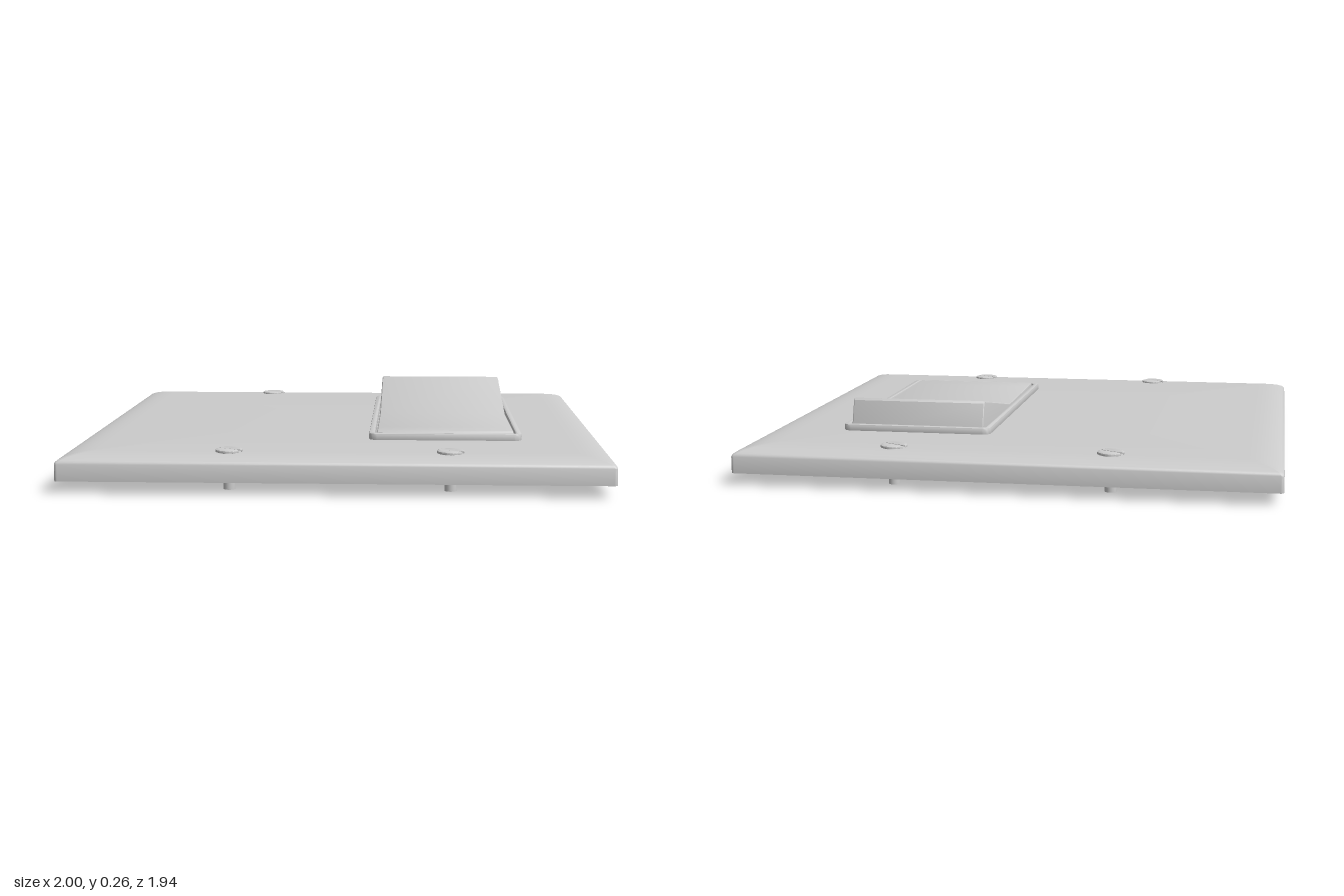
import * as THREE from 'three';
import { toCreasedNormals } from 'three/addons/utils/BufferGeometryUtils.js';

const HALF_X = 1, HALF_Z = 0.97, BASE_Y = 0.045;

// Closed outline of a rounded rectangle, as Vector2 points
function roundedRect(hx, hy, r, seg = 5) {
  const pts = [];
  [[1, 1], [-1, 1], [-1, -1], [1, -1]].forEach(([sx, sy], k) => {
    for (let i = 0; i <= seg; i++) {
      const t = (k + i / seg) * Math.PI / 2;
      pts.push(new THREE.Vector2(sx * (hx - r) + r * Math.cos(t), sy * (hy - r) + r * Math.sin(t)));
    }
  });
  return pts;
}

// Plate shell: rounded rectangles stacked along an edge profile of [inset, y]
function plateGeometry() {
  const profile = [[0, BASE_Y], [0, 0.106], [0.003, 0.113], [0.01, 0.119], [0.03, 0.127],
    [0.06, 0.134], [0.09, 0.138], [0.13, 0.14]];
  const pos = [], index = [];
  let n = 0;
  for (const [inset, y] of profile) {
    const ring = roundedRect(HALF_X - inset, HALF_Z - inset, 0.012);
    n = ring.length;
    ring.forEach(p => pos.push(p.x, y, p.y));
  }
  for (let i = 0; i < profile.length - 1; i++) {
    for (let j = 0; j < n; j++) {
      const a = i * n + j, b = i * n + (j + 1) % n;
      index.push(a, a + n, b + n, a, b + n, b);
    }
  }
  const last = (profile.length - 1) * n, centre = pos.length / 3;
  pos.push(0, 0.14, 0);
  for (let j = 0; j < n; j++) index.push(centre, last + (j + 1) % n, last + j);
  const g = new THREE.BufferGeometry();
  g.setAttribute('position', new THREE.Float32BufferAttribute(pos, 3));
  g.setIndex(index);
  return toCreasedNormals(g, 0.6);
}

export function createModel() {
  const model = new THREE.Group();
  const grey = new THREE.MeshStandardMaterial({ color: 0xcccccc });
  grey.name = 'light grey plastic';
  const black = new THREE.MeshStandardMaterial({ color: 0x050505 });
  black.name = 'black backing';

  const add = (name, geometry, material = grey, parent = model) => {
    const mesh = new THREE.Mesh(geometry, material);
    mesh.name = name;
    parent.add(mesh);
    return mesh;
  };

  add('wallPlate', plateGeometry());

  // Flat underside
  const back = new THREE.ShapeGeometry(new THREE.Shape(roundedRect(HALF_X, HALF_Z, 0.012)));
  add('plateBack', back.rotateX(Math.PI / 2), black).position.y = BASE_Y;

  // Raised frame around the rocker
  const frameShape = new THREE.Shape(roundedRect(0.29, 0.573, 0.03));
  frameShape.holes.push(new THREE.Path(roundedRect(0.267, 0.55, 0.018).reverse()));
  const frame = new THREE.ExtrudeGeometry(frameShape, {
    depth: 0.024, bevelThickness: 0.006, bevelSize: 0.006, bevelOffset: -0.006, bevelSegments: 2,
  });
  frame.rotateX(-Math.PI / 2);
  add('rockerFrame', toCreasedNormals(frame, 0.6)).position.set(0.404, 0.135, 0);

  // Rocker: side profile as (z, y), extruded across x
  const rockerShape = new THREE.Shape([
    [0.547, 0.009], [0.535, 0.162], [0.525, 0.17], [0.43, 0.169], [0, 0.165],
    [-0.502, 0.258], [-0.514, 0.26], [-0.524, 0.252], [-0.56, 0.13], [-0.56, 0.1], [0.13, 0.047],
  ].map(p => new THREE.Vector2(...p)).reverse());
  const bevel = 0.008;
  const rocker = new THREE.ExtrudeGeometry(rockerShape, {
    depth: 0.522 - 2 * bevel, bevelThickness: bevel, bevelSize: bevel, bevelOffset: -bevel, bevelSegments: 3,
  });
  rocker.rotateY(-Math.PI / 2);
  add('rocker', toCreasedNormals(rocker, 0.5)).position.x = 0.665 - bevel;

  // Screws: shaft, sunken disc and two head halves either side of the slot
  const shaftGeo = new THREE.CylinderGeometry(0.022, 0.022, 0.13, 20);
  const discGeo = new THREE.CylinderGeometry(0.048, 0.05, 0.006, 32);
  const slot = Math.asin(0.007 / 0.05);
  const halfShape = new THREE.Shape();
  halfShape.absarc(0, 0, 0.05, slot, Math.PI - slot, false);
  const halfGeo = toCreasedNormals(new THREE.ExtrudeGeometry(halfShape, {
    depth: 0.004, bevelThickness: 0.006, bevelSize: 0.01, bevelOffset: -0.01,
    bevelSegments: 3, curveSegments: 20,
  }).rotateX(-Math.PI / 2), 0.6);

  for (const x of [-0.385, 0.417]) {
    for (const z of [-0.84, 0.845]) {
      const screw = new THREE.Group();
      screw.name = 'screw';
      screw.position.set(x, 0, z);
      screw.rotation.y = -0.5;
      add('screwShaft', shaftGeo, grey, screw).position.y = 0.065;
      add('screwDisc', discGeo, grey, screw).position.y = 0.14;
      for (const turn of [0, Math.PI]) {
        const half = add('screwHeadHalf', halfGeo, grey, screw);
        half.position.y = 0.139;
        half.rotation.y = turn;
      }
      model.add(screw);
    }
  }
  return model;
}
